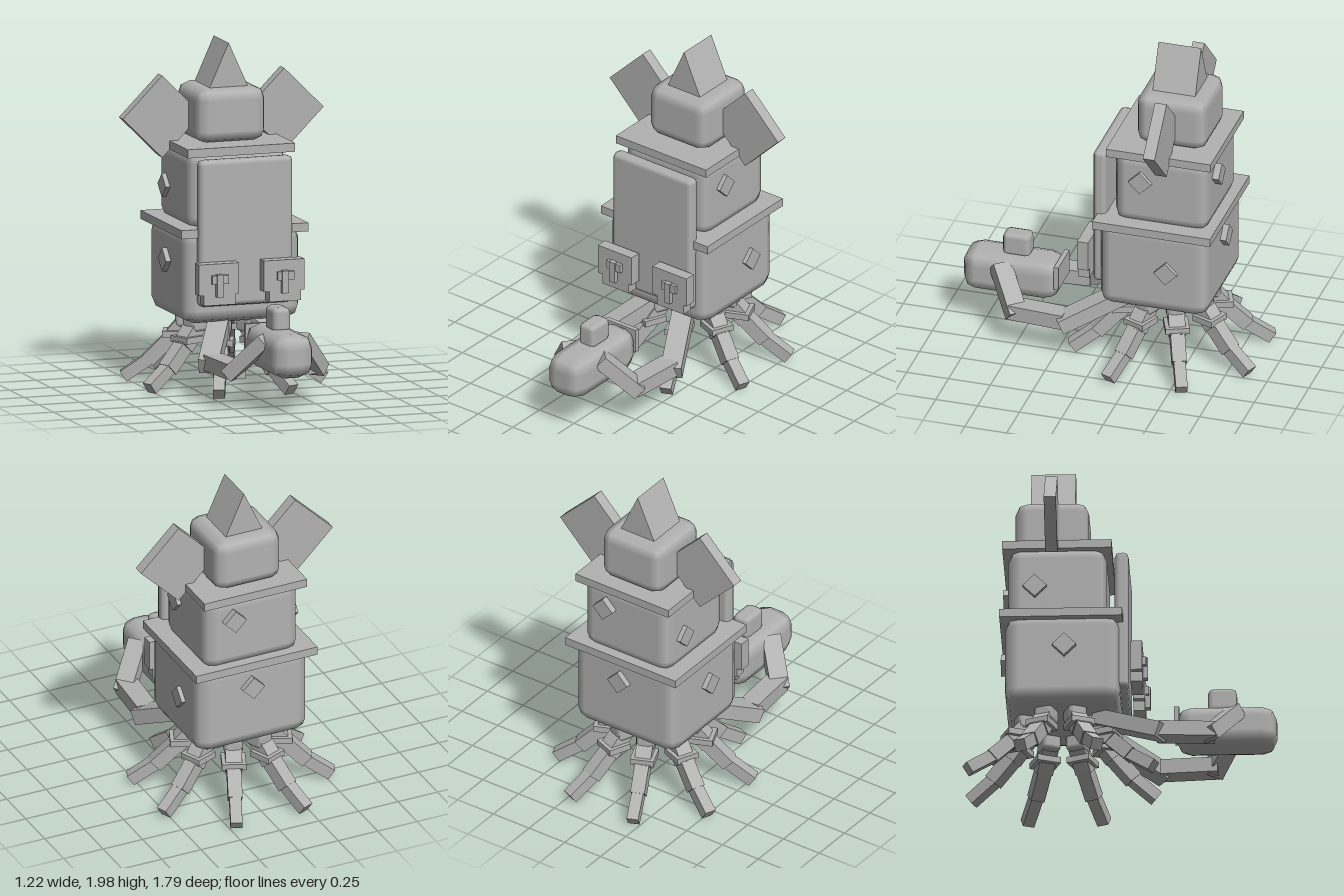
import * as THREE from 'three';
import { RoundedBoxGeometry } from 'three/addons/geometries/RoundedBoxGeometry.js';

const grey = new THREE.MeshStandardMaterial({ color: 0xb2b2b2 });
grey.name = 'plain grey';

function add(parent, name, geometry, x = 0, y = 0, z = 0) {
  const mesh = new THREE.Mesh(geometry, grey);
  mesh.name = name;
  mesh.position.set(x, y, z);
  parent.add(mesh);
  return mesh;
}

// Boxes given by their limits on each axis; r bevels the edges
function block(parent, name, [x0, x1], [y0, y1], [z0, z1], r = 0) {
  const w = x1 - x0, h = y1 - y0, d = z1 - z0;
  const geometry = r ? new RoundedBoxGeometry(w, h, d, 1, r) : new THREE.BoxGeometry(w, h, d);
  return add(parent, name, geometry, (x0 + x1) / 2, (y0 + y1) / 2, (z0 + z1) / 2);
}

// Box limb running from a to b
function limb(parent, name, a, b, w, h) {
  const start = new THREE.Vector3(...a), end = new THREE.Vector3(...b);
  const mesh = new THREE.Mesh(new THREE.BoxGeometry(w, h, start.distanceTo(end)), grey);
  mesh.name = name;
  mesh.position.copy(start).add(end).multiplyScalar(0.5);
  mesh.lookAt(end);
  parent.add(mesh);
}

export function createModel() {
  const model = new THREE.Group();
  model.name = 'model';

  // Stacked body with flat rims between the tiers
  block(model, 'lowerBody', [-0.355, 0.355], [0.42, 0.97], [-0.67, -0.015], 0.08);
  block(model, 'lowerRim', [-0.385, 0.385], [0.93, 0.98], [-0.7, 0.003]);
  block(model, 'upperBody', [-0.3, 0.3], [0.95, 1.41], [-0.655, -0.09], 0.075);
  block(model, 'upperRim', [-0.325, 0.325], [1.385, 1.435], [-0.685, -0.06]);
  block(model, 'head', [-0.21, 0.21], [1.43, 1.745], [-0.615, -0.195], 0.068);

  // Wedge crest
  const triangle = new THREE.Shape([
    new THREE.Vector2(-0.12, 1.735), new THREE.Vector2(0.12, 1.735), new THREE.Vector2(0, 2)]);
  add(model, 'crest', new THREE.ExtrudeGeometry(triangle, { depth: 0.255, bevelEnabled: false }), 0, 0, -0.53);

  // Square ears standing on their corners
  for (const s of [-1, 1]) {
    add(model, 'ear', new THREE.BoxGeometry(0.337, 0.337, 0.07), s * 0.37, 1.578, -0.402).rotation.z = Math.PI / 4;
  }

  // Diamond studs on the sides and back
  const stud = (x, y, z, onSide) => {
    const geometry = new THREE.BoxGeometry(0.098, 0.098, 0.07).rotateZ(Math.PI / 4);
    add(model, 'stud', onSide ? geometry.rotateY(Math.PI / 2) : geometry, x, y, z);
  };
  stud(0.29, 1.24, -0.26, true);
  stud(0.345, 0.7, -0.43, true);
  stud(-0.292, 1.155, -0.5, true);
  stud(-0.35, 0.755, -0.33, true);
  stud(0.13, 1.235 + 0.035, -0.66, false);
  stud(0.02, 0.81, -0.67, false);

  // Front board and its two clasps
  block(model, 'frontBoard', [-0.285, 0.285], [0.53, 1.38], [-0.045, 0.035], 0.03);
  for (const x of [-0.198, 0.198]) {
    const clasp = new THREE.Group();
    clasp.name = 'clasp';
    clasp.position.x = x;
    model.add(clasp);
    block(clasp, 'claspPlate', [-0.122, 0.122], [0.615, 0.795], [0.047, 0.115]);
    block(clasp, 'claspFoot', [-0.09, 0.1], [0.555, 0.62], [0.047, 0.115]);
    block(clasp, 'claspBar', [-0.045, 0.055], [0.68, 0.73], [0.11, 0.135]);
    block(clasp, 'claspPin', [-0.02, 0.02], [0.605, 0.735], [0.11, 0.143]);
  }

  // Eight radial jointed legs
  for (let k = 0; k < 8; k++) {
    const leg = new THREE.Group();
    leg.name = 'leg';
    leg.position.z = -0.355;
    leg.rotation.y = (k + 0.5) * Math.PI / 4;
    model.add(leg);
    block(leg, 'hip', [-0.055, 0.055], [0.34, 0.44], [0.15, 0.28], 0.025);
    limb(leg, 'thigh', [0, 0.4, 0.2], [0, 0.26, 0.32], 0.095, 0.09);
    block(leg, 'collar', [-0.07, 0.07], [0.285, 0.322], [0.21, 0.35]);
    limb(leg, 'shin', [0, 0.29, 0.29], [0, 0.145, 0.435], 0.083, 0.083);
    limb(leg, 'foot', [0, 0.165, 0.41], [0, 0.05, 0.575], 0.068, 0.07);
  }

  // Arms reaching forward to the pod
  for (const s of [-1, 1]) {
    limb(model, 'upperArm', [s * 0.1, 0.41, -0.15], [s * 0.3, 0.225, 0.23], 0.12, 0.09);
    limb(model, 'forearm', [s * 0.265, 0.245, 0.2], [s * 0.24, 0.245, 0.53], 0.12, 0.09);
    limb(model, 'hand', [s * 0.27, 0.22, 0.49], [s * 0.1, 0.435, 0.64], 0.11, 0.085);
  }

  // Pod held in front, with knob and tail plate
  block(model, 'pod', [-0.126, 0.126], [0.235, 0.49], [0.3, 0.875], 0.085);
  block(model, 'podKnob', [-0.055, 0.055], [0.47, 0.615], [0.48, 0.645], 0.03);
  block(model, 'podTail', [-0.11, 0.11], [0.33, 0.475], [0.29, 0.318]);

  return model;
}
